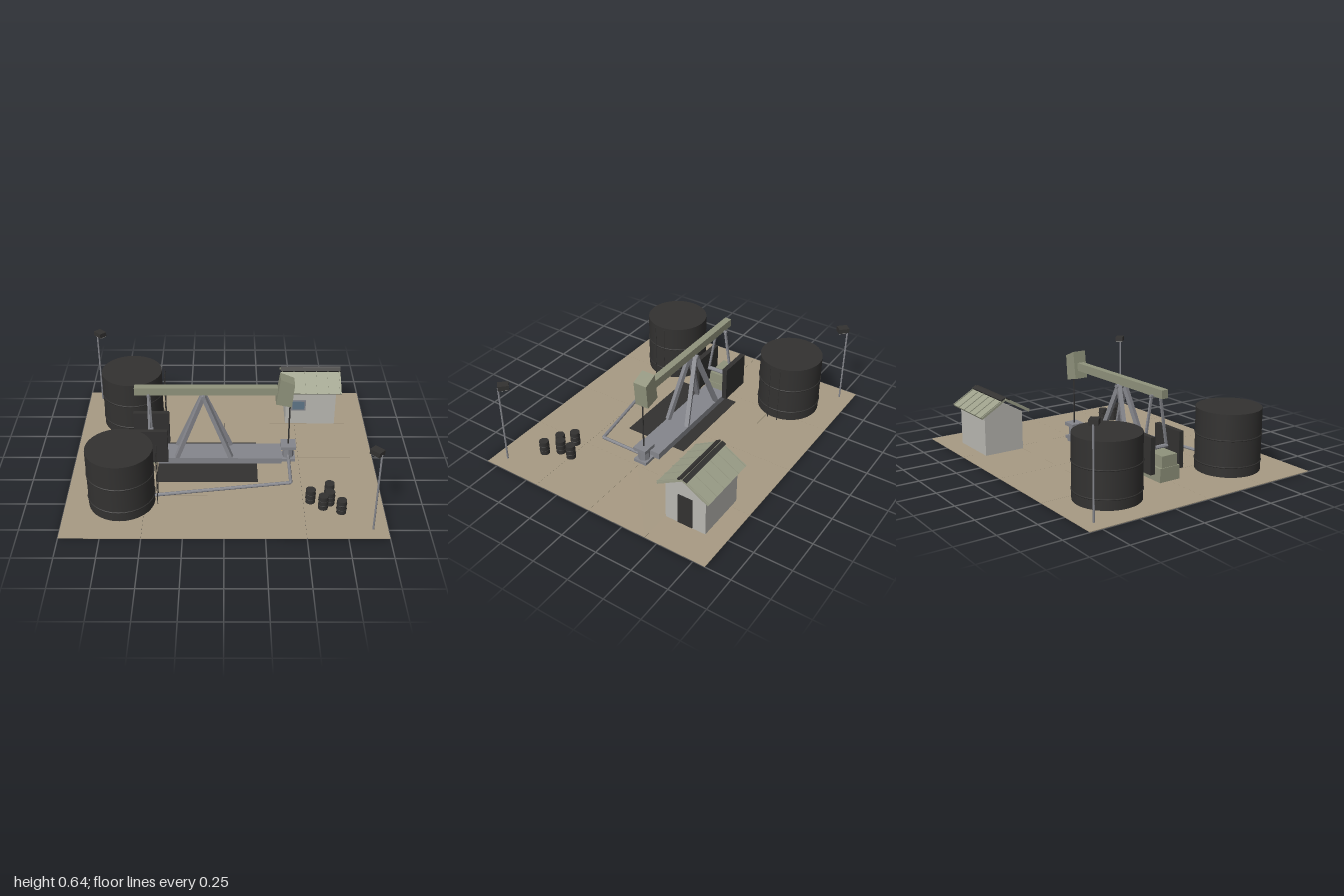
import * as THREE from 'three';

const mat = (color) => new THREE.MeshStandardMaterial({ color, flatShading: true });
const sand = mat(0xa89b84), dark = mat(0x333231), steel = mat(0x85868c), green = mat(0x90937c);
const roofMat = mat(0x9da08a), wallMat = mat(0xb9b8b2), glass = mat(0x5f7688), lensMat = mat(0xb5b5b0);
const smoothDark = new THREE.MeshStandardMaterial({ color: 0x333231 });

function add(parent, name, geometry, material, x = 0, y = 0, z = 0) {
  const mesh = new THREE.Mesh(geometry, material);
  mesh.name = name;
  mesh.position.set(x, y, z);
  parent.add(mesh);
  return mesh;
}
const box = (p, name, m, w, h, d, x, y, z) => add(p, name, new THREE.BoxGeometry(w, h, d), m, x, y, z);
const cyl = (p, name, m, r, h, x, y, z, n = 12) => add(p, name, new THREE.CylinderGeometry(r, r, h, n), m, x, y, z);

function group(parent, name, x = 0, y = 0, z = 0) {
  const g = new THREE.Group();
  g.name = name;
  g.position.set(x, y, z);
  parent.add(g);
  return g;
}

// Straight bar between two points, square or round
function bar(parent, name, material, a, b, size, round = false) {
  const from = new THREE.Vector3(...a), to = new THREE.Vector3(...b);
  const len = from.distanceTo(to);
  const geo = round ? new THREE.CylinderGeometry(size / 2, size / 2, len, 8) : new THREE.BoxGeometry(size, size, len);
  if (round) geo.rotateX(Math.PI / 2);
  const mesh = add(parent, name, geo, material);
  mesh.position.copy(from).lerp(to, 0.5);
  mesh.lookAt(to);
  return mesh;
}

function hoop(parent, name, r, tube, y, seg) {
  const ring = add(parent, name, new THREE.TorusGeometry(r, tube, 6, seg), smoothDark, 0, y, 0);
  ring.rotation.x = Math.PI / 2;
}

function extrudeAlongZ(points, depth) {
  const shape = new THREE.Shape(points.map(([x, y]) => new THREE.Vector2(x, y)));
  return new THREE.ExtrudeGeometry(shape, { depth, bevelEnabled: false }).translate(0, 0, -depth / 2);
}

// Storage tank with hoops and ladder rails
function tank(parent, z) {
  const g = group(parent, 'storageTank', -0.645, 0, z);
  cyl(g, 'tankShell', smoothDark, 0.209, 0.406, 0, 0.205, 0, 32);
  for (const y of [0.068, 0.24]) hoop(g, 'tankHoop', 0.209, 0.005, y, 32);
  for (const s of [-1, 1]) cyl(g, 'ladderRail', dark, 0.003, 0.4, 0.227, 0.203, s * 0.036, 6);
}

function pumpjack(parent) {
  const g = group(parent, 'pumpjack');
  box(g, 'baseSkid', steel, 0.825, 0.045, 0.172, -0.0275, 0.035, 0);
  box(g, 'walkingBeam', green, 0.925, 0.054, 0.046, -0.118, 0.538, 0);
  const head = [[0.36, 0.642], [0.452, 0.603], [0.438, 0.435], [0.335, 0.457]];
  add(g, 'horseHead', extrudeAlongZ(head, 0.094), green);

  // Supporting frame, cranks and pitman arms, mirrored
  for (const s of [-1, 1]) {
    for (const x of [-0.315, 0.045]) {
      bar(g, 'frameLeg', steel, [x, 0.06, s * 0.075], [-0.135, 0.505, s * 0.022], 0.028);
    }
    box(g, 'counterweight', dark, 0.24, 0.238, 0.034, -0.49, 0.176, s * 0.11);
    bar(g, 'pitmanArm', steel, [-0.49, 0.18, s * 0.088], [-0.49, 0.52, s * 0.032], 0.014);
  }
  bar(g, 'saddleBearing', steel, [-0.135, 0.5, -0.045], [-0.135, 0.5, 0.045], 0.03, true);
  bar(g, 'equalizerBar', steel, [-0.49, 0.512, -0.045], [-0.49, 0.512, 0.045], 0.018, true);
  bar(g, 'crankShaft', steel, [-0.49, 0.176, -0.12], [-0.49, 0.176, 0.12], 0.03, true);
  box(g, 'gearboxBase', green, 0.19, 0.09, 0.15, -0.545, 0.05, 0);
  box(g, 'gearboxTop', green, 0.18, 0.08, 0.116, -0.545, 0.13, 0);
}

function wellhead(parent) {
  const g = group(parent, 'wellhead', 0.43, 0, 0);
  cyl(g, 'wellBody', steel, 0.038, 0.1, 0, 0.055, 0, 8);
  box(g, 'wellCap', steel, 0.1, 0.024, 0.094, 0, 0.108, 0);
  box(g, 'wellFoot', steel, 0.094, 0.02, 0.094, 0, 0.014, 0);
  cyl(g, 'polishedRod', dark, 0.005, 0.34, 0, 0.28, 0, 8);
}

function shed(parent) {
  const g = group(parent, 'shed', 0.61, 0, -0.555);
  const gable = [[-0.14, 0.004], [0.14, 0.004], [0.14, 0.268], [0, 0.345], [-0.14, 0.268]];
  add(g, 'shedWalls', extrudeAlongZ(gable, 0.35).rotateY(Math.PI / 2), wallMat);
  box(g, 'door', dark, 0.012, 0.215, 0.1, 0.176, 0.117, 0);
  box(g, 'windowFrame', steel, 0.104, 0.082, 0.01, -0.086, 0.16, 0.142);
  box(g, 'windowPane', glass, 0.084, 0.062, 0.014, -0.086, 0.16, 0.142);

  // Roof slopes with standing seams
  const pitch = Math.atan2(0.1, 0.172);
  for (const s of [-1, 1]) {
    const slope = group(g, 'roofSlope', 0, 0.323, s * 0.089);
    slope.rotation.x = s * pitch;
    box(slope, 'roofPanel', roofMat, 0.418, 0.014, 0.203, 0, 0, 0);
    for (let i = 0; i < 6; i++) box(slope, 'roofSeam', roofMat, 0.007, 0.007, 0.203, -0.2 + i * 0.08, 0.009, 0);
    box(slope, 'ridgeCap', dark, 0.42, 0.01, 0.032, 0, 0.012, -s * 0.089);
  }
}

function lightMast(parent, s) {
  const g = group(parent, 'lightMast');
  g.rotation.y = s > 0 ? 0 : Math.PI;
  cyl(g, 'mastPole', steel, 0.006, 0.555, 0.908, 0.28, 0.743, 8);
  const lamp = group(g, 'lamp', 0.884, 0.565, 0.719);
  lamp.rotation.y = -Math.PI / 4;
  box(lamp, 'lampHousing', dark, 0.07, 0.032, 0.054, 0, 0, 0);
  box(lamp, 'lampLens', lensMat, 0.045, 0.008, 0.046, -0.01, -0.017, 0);
}

export function createModel() {
  const model = new THREE.Group();
  model.name = 'oilWellSite';

  // Ground slabs
  const ground = group(model, 'ground');
  for (let i = 0; i < 4; i++) for (let j = 0; j < 4; j++) {
    box(ground, 'groundSlab', sand, 0.499, 0.004, 0.414, -0.75 + i * 0.5, 0.002, (j - 1.5) * 0.415);
  }
  box(model, 'pad', dark, 0.66, 0.004, 0.44, -0.11, 0.006, 0.055);

  tank(model, -0.47);
  tank(model, 0.463);
  pumpjack(model);
  wellhead(model);
  shed(model);
  lightMast(model, 1);
  lightMast(model, -1);

  // Flow line from the well to the tank
  const route = [[0.43, 0.042, 0], [0.43, 0.042, 0.33], [-0.44, 0.042, 0.46]];
  for (let i = 0; i < 2; i++) bar(model, 'flowLine', steel, route[i], route[i + 1], 0.022, true);

  // Oil drums
  for (const [x, z] of [[0.545, 0.475], [0.67, 0.41], [0.665, 0.497], [0.62, 0.538], [0.73, 0.58]]) {
    const drum = group(model, 'drum', x, 0, z);
    cyl(drum, 'drumBody', smoothDark, 0.031, 0.096, 0, 0.052, 0, 16);
    for (const y of [0.035, 0.069]) hoop(drum, 'drumHoop', 0.031, 0.0025, y, 16);
  }
  return model;
}
